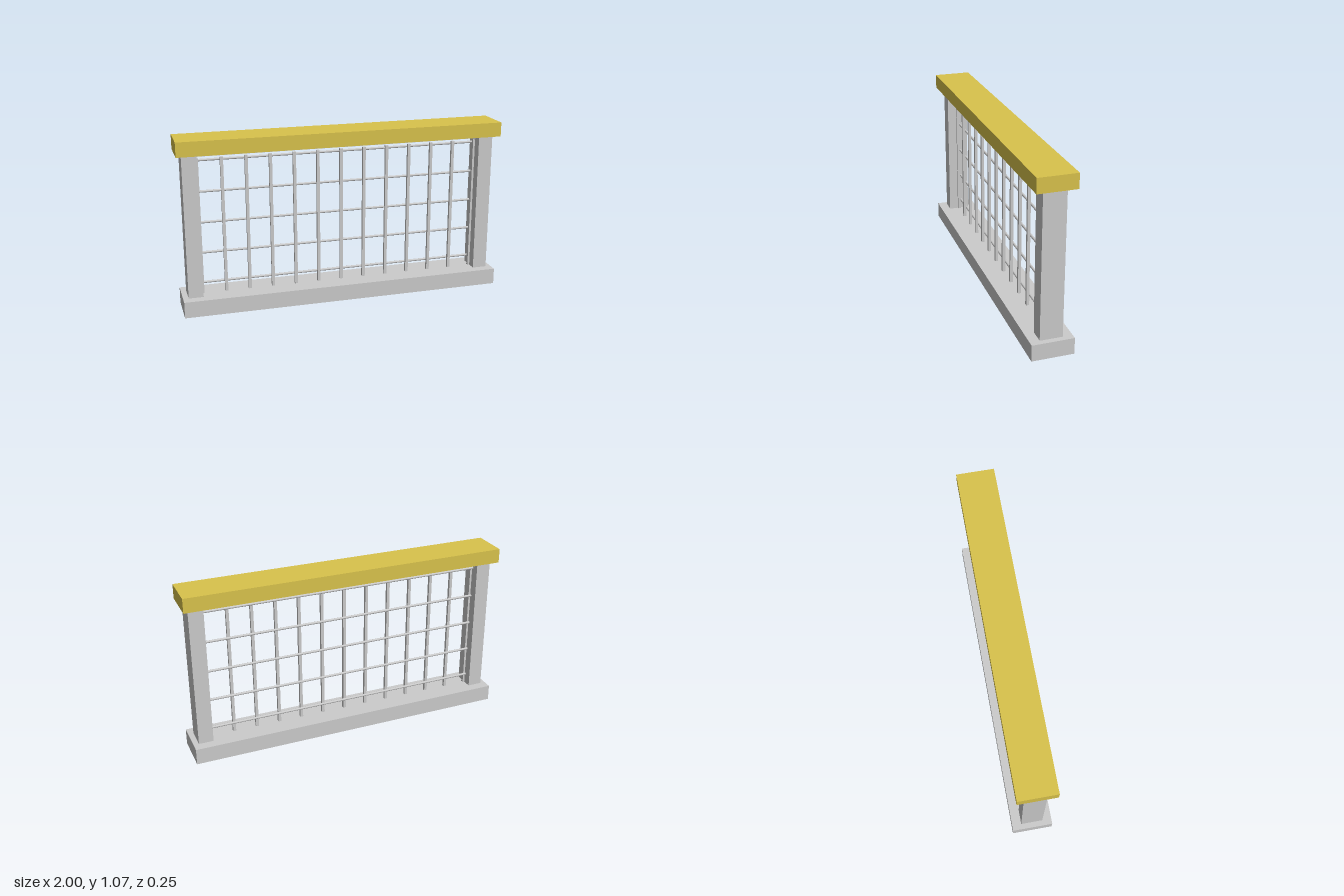
import * as THREE from 'three';

export function createModel() {
  const model = new THREE.Group();
  model.name = 'gridRailing';
  const grey = new THREE.MeshStandardMaterial({ color: 0xcccccc });
  const yellow = new THREE.MeshStandardMaterial({ color: 0xd9c34c });

  const add = (name, geometry, material, x, y, z) => {
    const mesh = new THREE.Mesh(geometry, material);
    mesh.name = name;
    mesh.position.set(x, y, z);
    model.add(mesh);
    return mesh;
  };
  // Box standing between two heights
  const block = (name, w, y0, y1, d, material = grey, x = 0, z = 0) =>
    add(name, new THREE.BoxGeometry(w, y1 - y0, d), material, x, (y0 + y1) / 2, z);

  // Plinth, cap and the plate under the cap
  block('base', 2, 0, 0.1, 0.25);
  block('cap', 2, 0.977, 1.065, 0.23, yellow);
  block('topPlate', 1.76, 0.96, 0.977, 0.1);

  // End posts
  for (const side of [-1, 1]) {
    block(side > 0 ? 'leftPost' : 'rightPost', 0.09, 0.05, 0.98, 0.134, grey, side * 0.922);
  }

  // Square upright bars
  for (let i = 0; i < 13; i++) {
    block('uprightBar', 0.018, 0.09, 0.94, 0.018, grey, (i - 6) * 0.1455);
  }

  // Round crossbars fixed to the back of the uprights
  const rodGeometry = new THREE.CylinderGeometry(0.0075, 0.0075, 1.76, 12);
  for (let i = 0; i < 5; i++) {
    add('crossBar', rodGeometry, grey, 0, 0.164 + i * 0.19, -0.015).rotation.z = Math.PI / 2;
  }

  return model;
}
